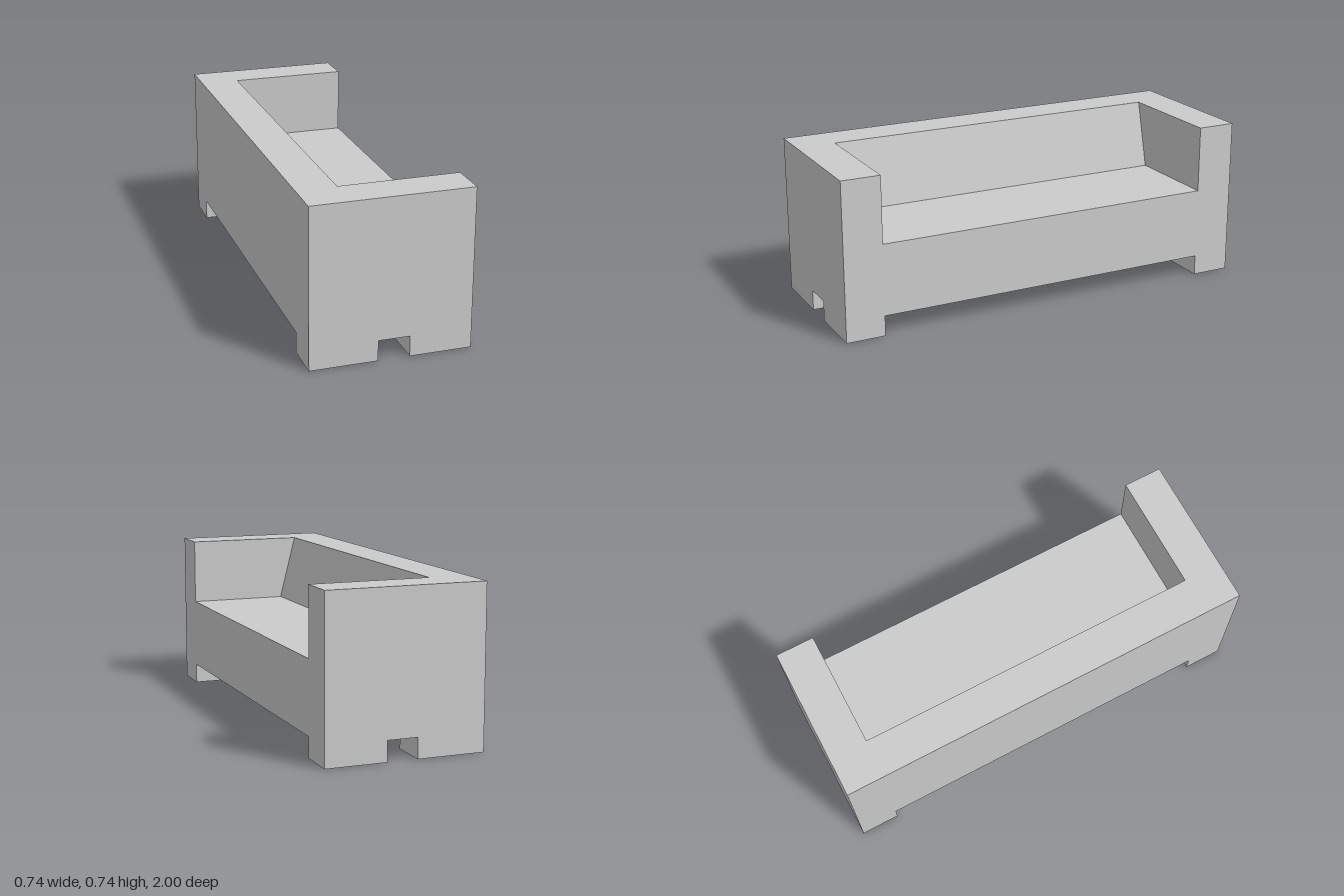
import * as THREE from 'three';

const W = 0.368, H = 0.743, BASE = 0.095, SEAT = 0.43; // half depth, height, underside, seat level
const ARM_IN = 0.817, ARM_OUT = 1;

const material = new THREE.MeshStandardMaterial({ color: 0xcccccc, flatShading: true });

// Extrudes an outline in the xy plane from z0 to z1
function slab(name, outline, z0, z1) {
  const shape = new THREE.Shape(outline.map(([x, y]) => new THREE.Vector2(x, y)));
  const geometry = new THREE.ExtrudeGeometry(shape, { depth: z1 - z0, bevelEnabled: false });
  geometry.translate(0, 0, z0);
  const mesh = new THREE.Mesh(geometry, material);
  mesh.name = name;
  return mesh;
}

// Armrest panel with its two feet; gap is the rear edge of the notch between them
const armOutline = (gap) => [
  [-W, 0], [gap, 0], [gap, BASE], [0.085, BASE], [0.085, 0],
  [W, 0], [W, H], [-W, H],
];

export function createModel() {
  const sofa = new THREE.Group();
  sofa.name = 'sofa';

  // Seat and sloping backrest in one profile
  sofa.add(slab('seatAndBackrest', [
    [-W, BASE], [W, BASE], [W, SEAT], [-0.105, SEAT], [-0.185, H], [-W, H],
  ], -ARM_IN, ARM_IN));

  // Armrests at both ends
  sofa.add(slab('frontArmrest', armOutline(-0.059), ARM_IN, ARM_OUT));
  sofa.add(slab('rearArmrest', armOutline(-0.056), -ARM_OUT, -ARM_IN));

  return sofa;
}
